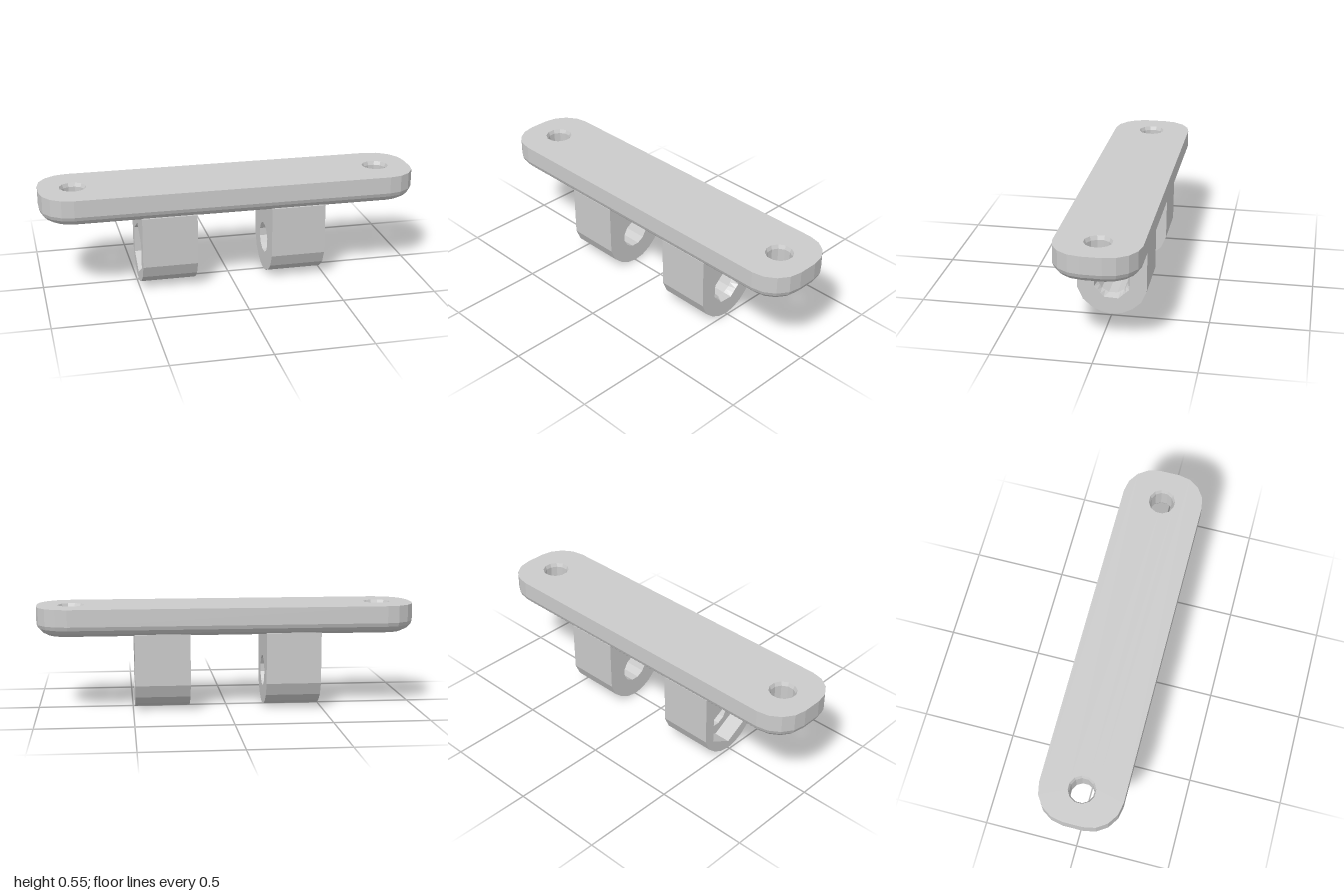
import * as THREE from 'three';
import { mergeGeometries } from 'three/addons/utils/BufferGeometryUtils.js';

const material = new THREE.MeshStandardMaterial({ color: 0xcccccc, flatShading: true });
const V2 = (x, y) => new THREE.Vector2(x, y);

// Regular polygon, always sampled with 24 points so that different polygons can be lofted
function polygon(sides, r, startDeg, cx = 0, cy = 0) {
  const corner = (k) => {
    const a = THREE.MathUtils.degToRad(startDeg) + (k / sides) * Math.PI * 2;
    return V2(cx + r * Math.cos(a), cy + r * Math.sin(a));
  };
  return Array.from({ length: 24 }, (_, i) => {
    const t = (i * sides) / 24, k = Math.floor(t);
    return corner(k).lerp(corner(k + 1), t - k);
  });
}

// Rounded rectangle outline, shrunk by an inset
function roundedRect(hx, hy, r, inset, steps = 4) {
  const pts = [];
  [[1, 1], [-1, 1], [-1, -1], [1, -1]].forEach(([sx, sy], q) => {
    for (let i = 0; i <= steps; i++) {
      const a = (q + i / steps) * Math.PI / 2;
      pts.push(V2(sx * (hx - r) + (r - inset) * Math.cos(a), sy * (hy - r) + (r - inset) * Math.sin(a)));
    }
  });
  return pts;
}

function fromPositions(pos) {
  const g = new THREE.BufferGeometry();
  g.setAttribute('position', new THREE.Float32BufferAttribute(pos, 3));
  g.computeVertexNormals();
  return g;
}

// Wall through [outline, depth] rings: rising rings face outward, falling rings face inward
function wall(...rings) {
  const pos = [];
  for (let k = 0; k + 1 < rings.length; k++) {
    const [a, za] = rings[k], [b, zb] = rings[k + 1];
    a.forEach((p, i) => {
      const j = (i + 1) % a.length;
      pos.push(p.x, p.y, za, a[j].x, a[j].y, za, b[j].x, b[j].y, zb);
      pos.push(p.x, p.y, za, b[j].x, b[j].y, zb, b[i].x, b[i].y, zb);
    });
  }
  return fromPositions(pos);
}

// Flat face with holes, facing up (+1) or down (-1) the depth axis
function cap(outline, holes, z, facing) {
  const shape = new THREE.Shape(outline);
  shape.holes = holes.map((h) => new THREE.Path(h));
  const flat = new THREE.ShapeGeometry(shape);
  if (facing < 0) flat.index.array.reverse();
  const g = flat.toNonIndexed().translate(0, 0, z);
  return fromPositions(Array.from(g.attributes.position.array));
}

function part(name, pieces) {
  const mesh = new THREE.Mesh(mergeGeometries(pieces), material);
  mesh.name = name;
  return mesh;
}

// Mounting plate with softened lower edge and two screw holes
function plate() {
  const low = 0.403, top = 0.55;
  const outline = (inset) => roundedRect(1, 0.216, 0.165, inset);
  const hole = (x, r) => polygon(12, r, 15, x, 0);
  const xs = [-0.82, 0.82];
  const rims = xs.map((x) => hole(x, 0.071));
  const mesh = part('mountingPlate', [
    wall([outline(0.06), low], [outline(0.027), 0.42], [outline(0.008), 0.44], [outline(0), 0.46], [outline(0), top]),
    cap(outline(0), rims, top, 1),
    cap(outline(0.06), rims, low, -1),
    ...xs.map((x) => wall([hole(x, 0.071), top], [hole(x, 0.063), top - 0.02],
      [hole(x, 0.063), low + 0.02], [hole(x, 0.071), low])),
  ]);
  mesh.rotation.x = -Math.PI / 2;
  return mesh;
}

// Lug outline: straight sides and a faceted round bottom
const half = [[0.055, 0.01], [0.105, 0.035], [0.15, 0.075], [0.179, 0.14], [0.182, 0.41]];
const lugOutline = [
  V2(0, 0),
  ...half.map(([x, y]) => V2(x, y)),
  ...half.map(([x, y]) => V2(-x, y)).reverse(),
];
const pinY = 0.183, inner = 0.2, outer = 0.49;
const bore = polygon(12, 0.082, 15, 0, pinY);

// Lug with an eight-sided lead-in on its outer face
function boltLug() {
  const leadIn = polygon(8, 0.098, 20, 0, pinY);
  return part('boltLug', [
    wall([lugOutline, inner], [lugOutline, outer]),
    cap(lugOutline, [bore], inner, -1),
    cap(lugOutline, [leadIn], outer, 1),
    wall([leadIn, outer], [bore, outer - 0.04], [bore, inner]),
  ]);
}

// Lug with a hexagonal nut pocket on its outer face
function nutLug() {
  const pocket = polygon(6, 0.14, 30, 0, pinY), floor = -outer + 0.09;
  return part('nutLug', [
    wall([lugOutline, -outer], [lugOutline, -inner]),
    cap(lugOutline, [pocket], -outer, -1),
    cap(lugOutline, [bore], -inner, 1),
    cap(pocket, [bore], floor, -1),
    wall([bore, -inner], [bore, floor]),
    wall([pocket, floor], [pocket, -outer]),
  ]);
}

export function createModel() {
  const group = new THREE.Group();
  group.name = 'hingeBracket';
  const lugs = [boltLug(), nutLug()];
  lugs.forEach((lug) => { lug.rotation.y = Math.PI / 2; });
  group.add(plate(), ...lugs);
  return group;
}
